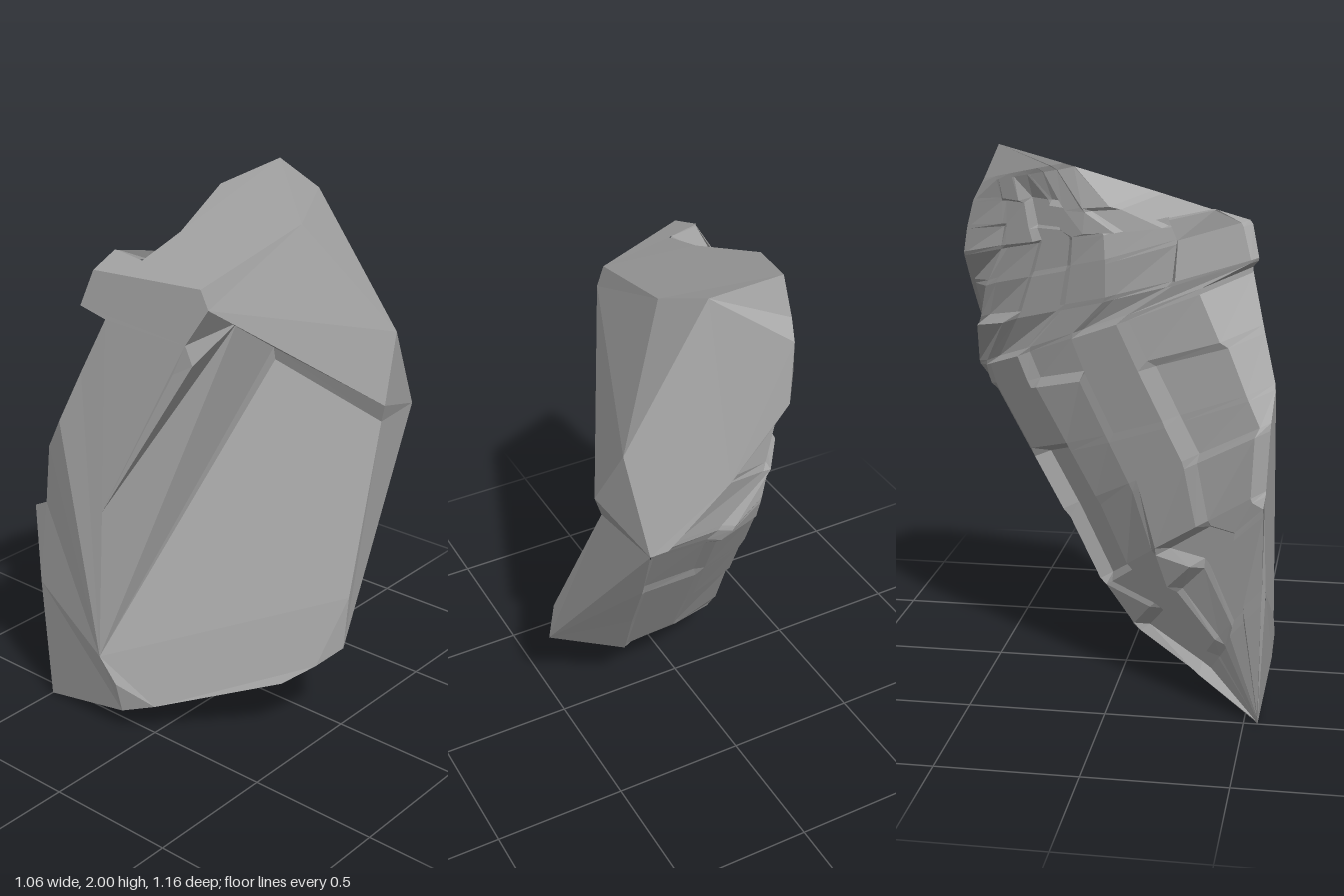
import * as THREE from 'three';

const V = (x, y, z) => new THREE.Vector3(x, y, z);
const material = new THREE.MeshStandardMaterial({ color: 0x9c9c9c, flatShading: true });

function makeMesh(name, points) {
  const geometry = new THREE.BufferGeometry().setFromPoints(points);
  geometry.computeVertexNormals();
  const mesh = new THREE.Mesh(geometry, material);
  mesh.name = name;
  return mesh;
}

// One planar-ish facet, corners counter-clockwise from outside, concave outlines allowed
function facet(name, pts) {
  const n = V(0, 0, 0);
  pts.forEach((p, i) => n.add(p.clone().cross(pts[(i + 1) % pts.length])));
  n.normalize();
  const u = V(0, 1, 0).cross(n);
  if (u.length() < 0.1) u.set(1, 0, 0);
  u.addScaledVector(n, -u.dot(n)).normalize();
  const w = n.clone().cross(u);
  const flat = pts.map((p) => new THREE.Vector2(p.dot(u), p.dot(w)));
  const out = [];
  for (const [a, b, c] of THREE.ShapeUtils.triangulateShape(flat, [])) {
    const turn = flat[b].clone().sub(flat[a]).cross(flat[c].clone().sub(flat[a]));
    out.push(pts[a], ...(turn > 0 ? [pts[b], pts[c]] : [pts[c], pts[b]]));
  }
  return makeMesh(name, out);
}

// Small repeatable hash for the broken blocks
const hash = (i, j) => {
  const s = Math.sin(i * 127.1 + j * 311.7 + 4.2) * 43758.5453;
  return s - Math.floor(s);
};

// Cleavage planes that bound the broken back: normal, distance
const cleavage = [
  [V(-0.83, -0.204, -0.567), 0.105], // main back plane
  [V(-1, 0, -0.37), 0.325], // upright wall on the right-hand side
  [V(-1, 0.27, 0), 0.751], // leaning side
  [V(-1, 0, 0), 0.52],
  [V(0, -0.605, -1), -0.107], // undercut behind
  [V(0, 0, -1), 0.58],
  [V(0, -1, -0.433), -0.238], // underside
];

// Broken back: spans the two rim chains, pushed out to the cleavage planes, chipped into blocks
function brokenBack(left, right, columns) {
  const n = left.length - 1;
  const outward = V(-0.57, -0.28, -0.77);
  const split = (count) => {
    const list = [{ t: 0, k: -1 }];
    for (let k = 0; k < count; k++) list.push({ t: k + 0.06, k }, { t: k + 0.92, k });
    list.push({ t: count, k: -1 });
    return list;
  };
  const along = (chain, t) => {
    const i = Math.min(Math.floor(t), n - 1);
    return chain[i].clone().lerp(chain[i + 1], t - i);
  };
  const grid = split(n).map((row) => split(columns).map((col) => {
    const p = along(left, row.t).lerp(along(right, row.t), col.t / columns);
    if (row.k < 0 || col.k < 0) return p;
    let reach = 0.5;
    for (const [normal, distance] of cleavage) {
      const facing = normal.dot(outward);
      if (facing > 0) reach = Math.min(reach, (distance - normal.dot(p)) / facing);
    }
    const chip = 0.07 * hash(Math.floor((row.k + col.k % 2) / 2), col.k);
    return p.addScaledVector(outward, Math.max(0, reach - chip));
  }));
  const out = [];
  for (let i = 0; i < grid.length - 1; i++) {
    for (let j = 0; j < grid[0].length - 1; j++) {
      const a = grid[i][j + 1], b = grid[i][j], c = grid[i + 1][j], d = grid[i + 1][j + 1];
      out.push(a, b, c, a, c, d);
    }
  }
  return makeMesh('brokenBack', out);
}

export function createModel() {
  const rock = new THREE.Group();
  rock.name = 'rockShard';

  // Rim chains from the lowest tip to the peak
  const tip = V(-0.5, 0, 0.55), peak = V(-0.17, 2, -0.43);
  const left = [
    tip, V(-0.51, 0.5, 0.57), V(-0.53, 0.81, 0.56), V(-0.47, 0.84, 0.56), V(-0.43, 1.08, 0.57),
    V(-0.36, 1.2, 0.58), V(-0.29, 1.39, 0.53), V(-0.21, 1.59, 0.48), V(-0.3, 1.63, 0.51),
    V(-0.26, 1.76, 0.48), V(-0.28, 1.8, 0.35), V(-0.16, 1.78, 0.34), V(-0.16, 1.84, 0.14),
    V(-0.24, 1.94, -0.17), peak,
  ];
  const right = [
    tip, V(-0.25, 0.087, 0.35), V(0, 0.173, 0.15), V(0.25, 0.26, -0.05), V(0.3, 0.55, -0.22),
    V(0.34, 0.83, -0.39), V(0.39, 1.12, -0.55), V(0.33, 1.14, -0.57), V(0.1, 1.35, -0.58),
    V(-0.02, 1.48, -0.58), V(-0.12, 1.6, -0.58), V(-0.14, 1.7, -0.56), V(-0.16, 1.8, -0.53),
    V(-0.17, 1.87, -0.49), peak,
  ];

  // Shared corners
  const topBack = V(0.07, 1.94, -0.36), topSide = V(0.15, 1.86, -0.16), topFront = V(0.11, 1.73, 0.34);
  const sideBack = V(0.41, 1.45, -0.4), overhangEnd = V(0.46, 1.21, -0.27);
  const notch = [V(0.03, 1.42, 0.4), V(0.1, 1.46, 0.375), V(0.07, 1.53, 0.378), V(0.14, 1.66, 0.335)];
  const cleftLow = V(-0.2, 0.29, 0.58), cleftMid = V(-0.19, 0.88, 0.55), cleftTop = V(0.05, 1.53, 0.08);
  const ledgeIn = V(0.05, 1.38, -0.13), slabTop = V(0.05, 1.33, -0.14), slabSide = V(0.44, 1.14, -0.28);
  const toe = V(-0.12, 0.2, 0.58), toeLow = V(-0.1, 0.09, 0.57), toeSide = V(0.02, 0.13, 0.52);
  const slabLow = [V(0.4, 0.25, 0.24), V(0.48, 0.31, 0.14), V(0.53, 0.36, 0.04)];
  const slabEdge = V(0.52, 0.55, 0);

  rock.add(
    facet('topFace', [peak, ...left.slice(9, 14).reverse(), topFront, topSide, topBack]),
    facet('lowerFrontFace', [tip, toeLow, toe, cleftLow, ...left.slice(1, 6).reverse()]),
    facet('upperFrontFace', [cleftLow, cleftMid, ...notch, topFront, ...left.slice(5, 10).reverse()]),
    facet('toeChip', [toeLow, toeSide, toe]),
    facet('frontSlab', [cleftLow, toe, toeSide, ...slabLow, slabEdge, slabSide, slabTop]),
    facet('cleftWall', [cleftLow, slabTop, ledgeIn, cleftTop, cleftMid]),
    facet('cleftUpperWall', [cleftMid, cleftTop, ...notch.slice().reverse()]),
    facet('overhang', [notch[3], cleftTop, ledgeIn, overhangEnd]),
    facet('ledge', [ledgeIn, slabTop, slabSide, overhangEnd]),
    facet('shoulder', [topFront, notch[3], overhangEnd, sideBack, topBack, topSide]),
    facet('sideFace', [overhangEnd, slabSide, slabEdge, slabLow[2], right[6], sideBack]),
    facet('sideBevel', [slabLow[2], ...right.slice(3, 7)]),
    facet('upperBackFace', [topBack, sideBack, ...right.slice(6, 14), peak]),
    facet('underside', [tip, ...right.slice(1, 4), ...slabLow.slice().reverse(), toeSide, toeLow]),
    brokenBack(left, right, 6),
  );
  return rock;
}
